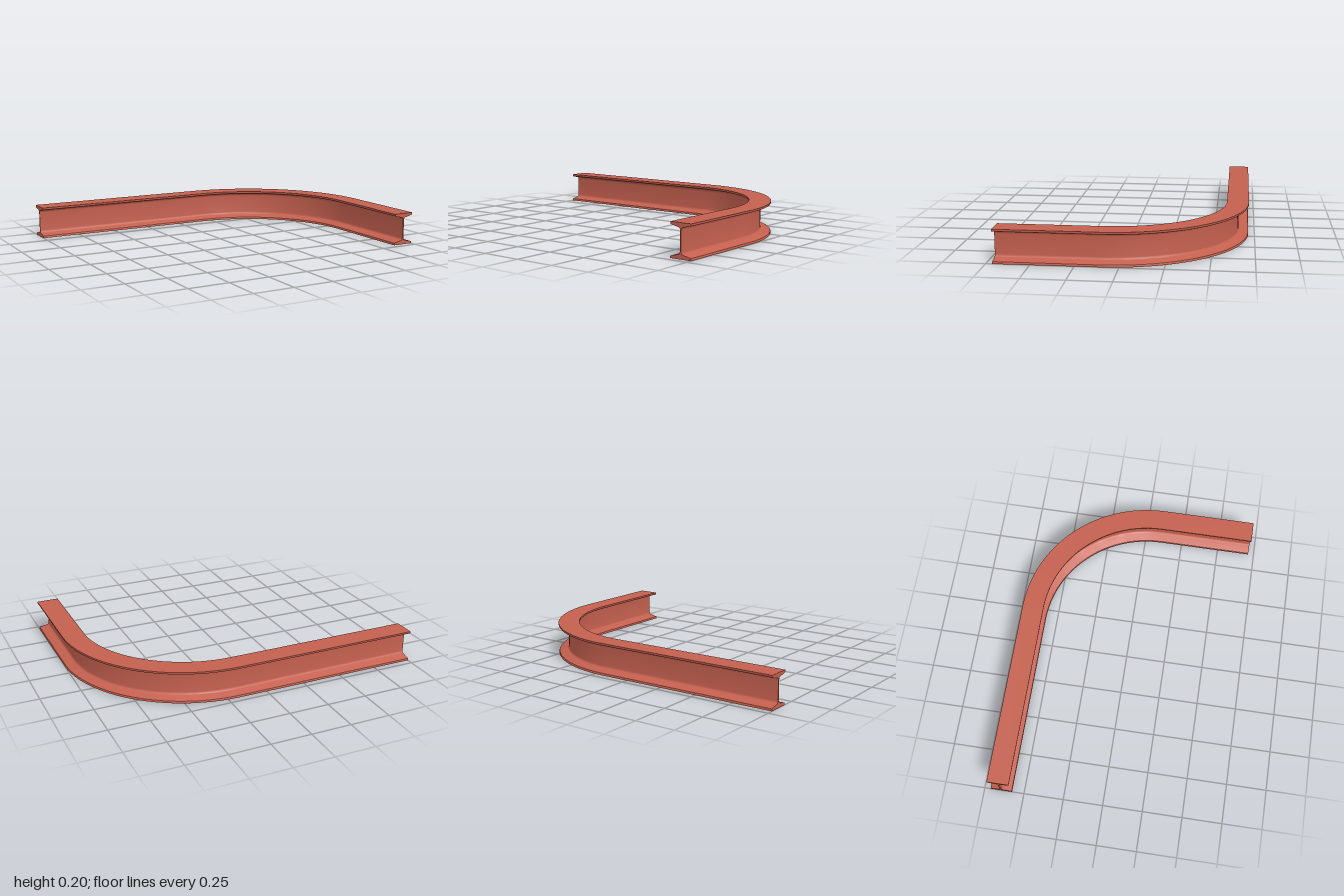
import * as THREE from 'three';
import { toCreasedNormals } from 'three/addons/utils/BufferGeometryUtils.js';

const HALF_WIDTH = 0.068, HEIGHT = 0.2;
const BEND_X = 0.18, BEND_Z = 0.108, RADIUS = 0.752, BEND_STEPS = 24;

// I-section with tapered flanges, rounded tips and fillets at the web
function beamSection() {
  const quarter = [
    [HALF_WIDTH, 0.2], [HALF_WIDTH, 0.191], [0.066, 0.187], [0.062, 0.185],
    [0.014, 0.174], [0.008, 0.171], [0.005, 0.166], [0.004, 0.159],
  ];
  const right = [...quarter, ...quarter.map(([u, y]) => [u, HEIGHT - y]).reverse()];
  const left = right.map(([u, y]) => [-u, y]).reverse();
  return new THREE.Shape([...right, ...left].map(([u, y]) => new THREE.Vector2(u, y)));
}

// Stations along the beam: straight run, quarter bend, straight run
function beamStations() {
  const stations = [{ x: -1, z: BEND_Z - RADIUS, angle: 0 }];
  for (let i = 0; i <= BEND_STEPS; i++) {
    const angle = (i / BEND_STEPS) * Math.PI / 2;
    stations.push({
      x: BEND_X + RADIUS * Math.sin(angle),
      z: BEND_Z - RADIUS * Math.cos(angle),
      angle,
    });
  }
  stations.push({ x: BEND_X + RADIUS, z: 0.712, angle: Math.PI / 2 });
  return stations;
}

export function createModel() {
  const group = new THREE.Group();
  group.name = 'bentBeam';

  const stations = beamStations();
  const steps = stations.length - 1;
  const geometry = new THREE.ExtrudeGeometry(beamSection(), {
    depth: steps, steps, bevelEnabled: false,
  });

  // Carry each slice of the straight extrusion to its station on the path
  const pos = geometry.attributes.position;
  for (let i = 0; i < pos.count; i++) {
    const u = pos.getX(i);
    const s = stations[Math.round(pos.getZ(i))];
    pos.setXYZ(i, s.x + u * Math.sin(s.angle), pos.getY(i), s.z - u * Math.cos(s.angle));
  }

  const beam = new THREE.Mesh(
    toCreasedNormals(geometry, Math.PI / 5),
    new THREE.MeshStandardMaterial({ color: 0xc4604f }),
  );
  beam.name = 'curvedIBeam';
  group.add(beam);
  return group;
}
